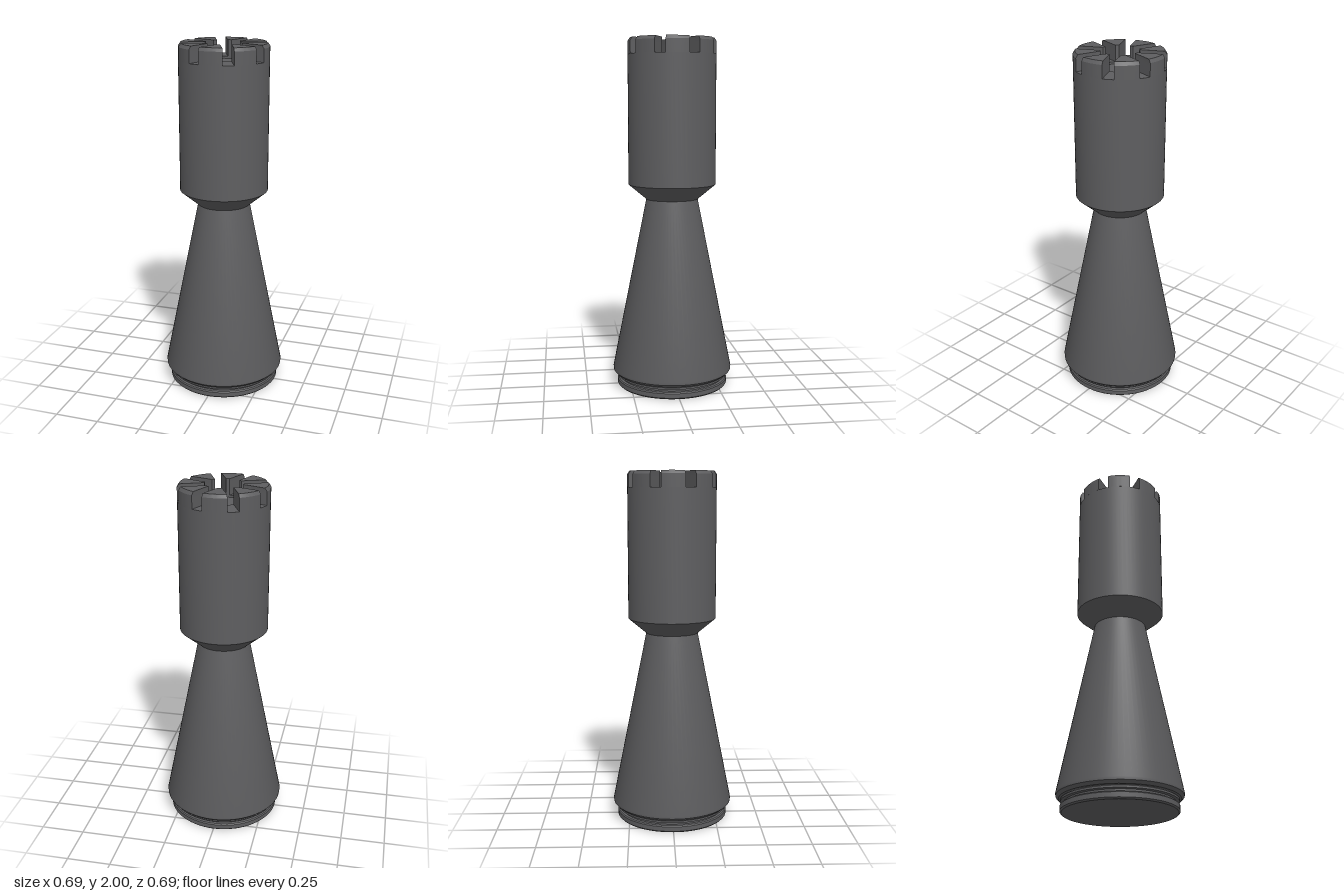
import * as THREE from 'three';
import { toCreasedNormals } from 'three/addons/utils/BufferGeometryUtils.js';

const SIDES = 64;
const SLOT_FLOOR = 1.91, TOP = 2, R = 0.25, PIT_R = 0.105, SLOT_HALF = 0.031;

export function createModel() {
  const model = new THREE.Group();
  const grey = new THREE.MeshStandardMaterial({ color: 0x5e5e60 });
  grey.name = 'darkGrey';

  const add = (name, geometry, parent = model) => {
    const mesh = new THREE.Mesh(toCreasedNormals(geometry, 0.4), grey);
    mesh.name = name;
    parent.add(mesh);
    return mesh;
  };
  const lathe = (name, points) =>
    add(name, new THREE.LatheGeometry(points.map(([x, y]) => new THREE.Vector2(x, y)), SIDES));

  // Foot disc with a groove and a thin ring under the body
  lathe('foot', [
    [0, 0], [0.312, 0], [0.32, 0.008], [0.32, 0.034], [0.314, 0.04], [0.3, 0.042],
    [0.3, 0.054], [0.318, 0.057], [0.318, 0.068], [0.308, 0.074],
  ]);

  // Tapering lower body
  lathe('taperedBody', [[0.308, 0.074], [0.328, 0.074], [0.344, 0.09], [0.345, 0.105], [0.148, 1.09]]);

  // Flared collar and straight upper drum, closed by the slot floor and a shallow pit
  lathe('upperDrum', [
    [0.148, 1.09], [R, 1.175], [R, SLOT_FLOOR], [PIT_R, SLOT_FLOOR], [PIT_R, SLOT_FLOOR - 0.012],
    [0, SLOT_FLOOR - 0.012],
  ]);

  // Crown of eight blocks parted by straight-sided slots
  const crown = new THREE.Group();
  crown.name = 'crown';
  model.add(crown);
  const halfAngle = (r) => Math.PI / 8 - Math.asin(SLOT_HALF / r);
  const a = halfAngle(R), b = halfAngle(PIT_R);
  const shape = new THREE.Shape();
  shape.absarc(0, 0, R, -a, a, false);
  shape.absarc(0, 0, PIT_R, b, -b, true);
  const block = new THREE.ExtrudeGeometry(shape, {
    depth: TOP - SLOT_FLOOR, steps: 5, bevelEnabled: false, curveSegments: 8,
  });
  block.rotateX(-Math.PI / 2);
  block.translate(0, SLOT_FLOOR, 0);

  // Chamfer the outer top edge
  const p = block.attributes.position;
  for (let i = 0; i < p.count; i++) {
    const r = Math.hypot(p.getX(i), p.getZ(i));
    if (p.getY(i) > TOP - 0.001 && r > R - 0.01) {
      const k = 0.238 / r;
      p.setX(i, p.getX(i) * k);
      p.setZ(i, p.getZ(i) * k);
    }
  }
  for (let i = 0; i < 8; i++) add('crownBlock', block, crown).rotation.y = (i * Math.PI) / 4;

  return model;
}
